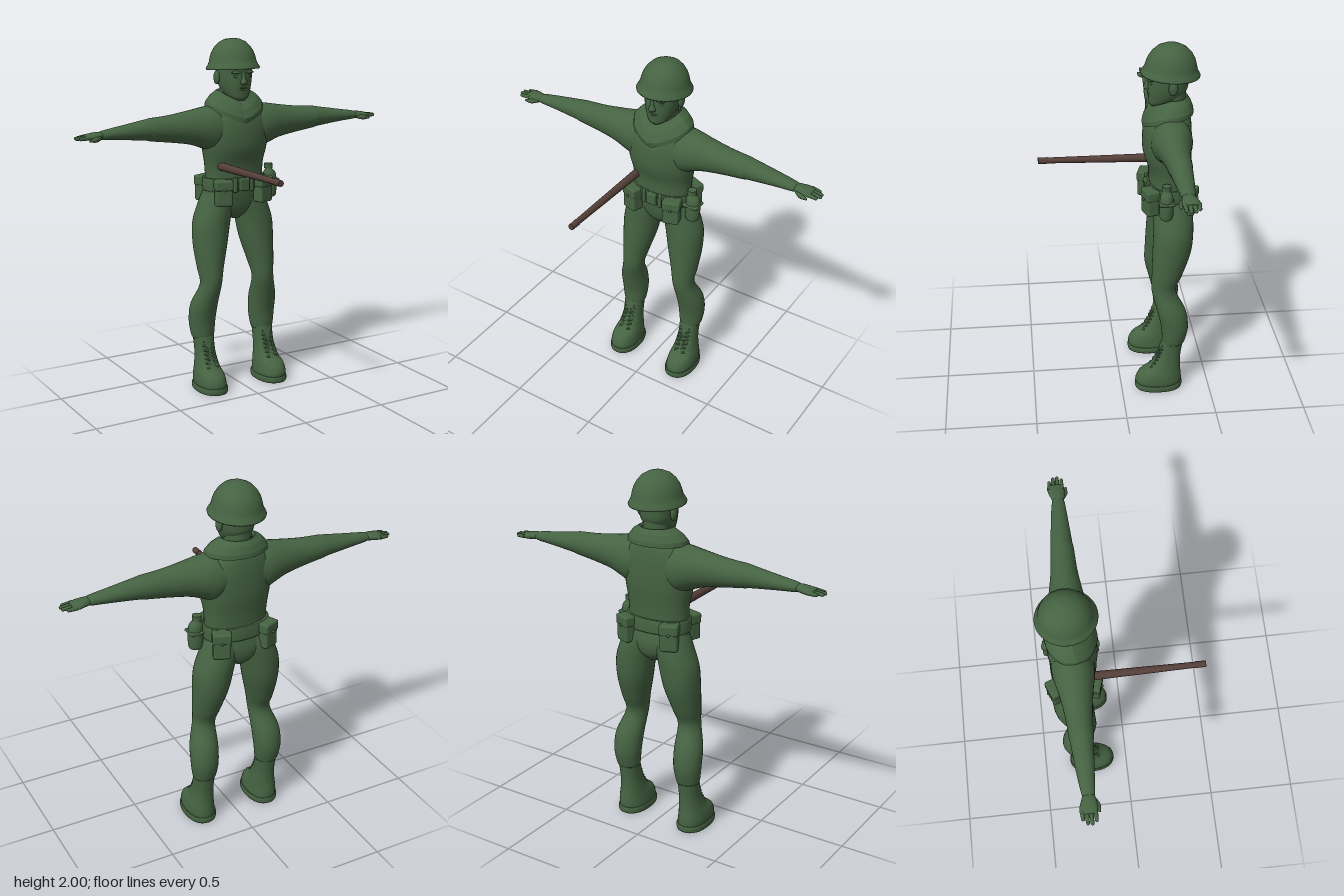
import * as THREE from 'three';
import { RoundedBoxGeometry } from 'three/addons/geometries/RoundedBoxGeometry.js';

const green = new THREE.MeshStandardMaterial({ color: 0x456342 });
green.name = 'uniform green';
const brown = new THREE.MeshStandardMaterial({ color: 0x553f39 });
brown.name = 'barrel brown';

// Smooth interpolation through table rows, u from 0 to rows.length - 1
function sample(rows, u) {
  const n = rows.length - 1, k = Math.min(Math.floor(u), n - 1), t = u - k;
  const row = (i) => rows[Math.max(0, Math.min(n, i))];
  return rows[k].map((b, c) => {
    const a = row(k - 1)[c], d = row(k + 1)[c], e = row(k + 2)[c];
    return b + 0.5 * t * (d - a + t * (2 * a - 5 * b + 4 * d - e + t * (3 * (b - d) + e - a)));
  });
}

// Closed-ring surface; point(i, j) gives [x, y, z]
function rings(ni, nj, point, wrap, caps) {
  const pos = [], idx = [];
  for (let i = 0; i < ni; i++) for (let j = 0; j < nj; j++) pos.push(...point(i, j));
  const last = wrap ? ni : ni - 1;
  for (let i = 0; i < last; i++) for (let j = 0; j < nj; j++) {
    const a = i * nj + j, b = i * nj + (j + 1) % nj;
    const k = (i + 1) % ni, c = k * nj + j, d = k * nj + (j + 1) % nj;
    idx.push(a, c, b, b, c, d);
  }
  if (caps) caps.forEach((p, e) => {
    const m = pos.length / 3, base = e ? (ni - 1) * nj : 0;
    pos.push(...p);
    for (let j = 0; j < nj; j++) {
      const a = base + j, b = base + (j + 1) % nj;
      if (e) idx.push(m, b, a); else idx.push(m, a, b);
    }
  });
  const g = new THREE.BufferGeometry();
  g.setAttribute('position', new THREE.Float32BufferAttribute(pos, 3));
  g.setIndex(idx);
  g.computeVertexNormals();
  return g;
}

// Loft of ellipses. axis 'y': [y, cx, cz, rx, rz]; axis 'x': [x, cy, cz, ry, rz]
function loft(rows, axis = 'y', power = 1, sides = 32, steps = 5) {
  const ni = (rows.length - 1) * steps + 1;
  const bend = (v) => Math.sign(v) * Math.abs(v) ** power;
  const place = (i, c, s) => {
    const [t, a, b, ra, rb] = sample(rows, i / steps);
    return axis === 'y' ? [a + ra * c, t, b + rb * s] : [t, a + ra * s, b + rb * c];
  };
  return rings(ni, sides, (i, j) => {
    const w = j / sides * Math.PI * 2;
    return place(i, bend(Math.cos(w)), bend(Math.sin(w)));
  }, false, [place(0, 0, 0), place(ni - 1, 0, 0)]);
}

function mirrored(g) {
  const m = g.clone().scale(-1, 1, 1), ix = m.index;
  for (let i = 0; i < ix.count; i += 3) {
    const a = ix.getX(i);
    ix.setX(i, ix.getX(i + 2));
    ix.setX(i + 2, a);
  }
  return m;
}

function blob(x, y, z, rx, ry, rz) {
  return new THREE.SphereGeometry(1, 20, 14).scale(rx, ry, rz).translate(x, y, z);
}

function rod(a, b, r, r2 = r) {
  const p = new THREE.Vector3(...a), q = new THREE.Vector3(...b), d = q.clone().sub(p);
  const turn = new THREE.Quaternion().setFromUnitVectors(new THREE.Vector3(0, 1, 0), d.clone().normalize());
  return new THREE.CylinderGeometry(r2, r, d.length(), 16).applyQuaternion(turn)
    .translate(...p.add(q).multiplyScalar(0.5).toArray());
}

function box(w, h, d, x, y, z, yaw = 0, r = 0.012) {
  return new RoundedBoxGeometry(w, h, d, 3, r).rotateY(yaw).translate(x, y, z);
}

export function createModel() {
  const model = new THREE.Group();
  const add = (name, geo, mat = green) => {
    const m = new THREE.Mesh(geo, mat);
    m.name = name;
    model.add(m);
  };
  const pair = (name, geo) => {
    if (!geo.index) geo.setIndex([...Array(geo.attributes.position.count).keys()]);
    add(name + 'Left', geo);
    add(name + 'Right', mirrored(geo));
  };

  // Torso and pelvis
  add('torso', loft([
    [0.985, 0, -0.29, 0.03, 0.05], [1.03, 0, -0.29, 0.1, 0.09], [1.1, 0, -0.285, 0.18, 0.105],
    [1.2, 0, -0.27, 0.175, 0.102], [1.3, 0, -0.27, 0.178, 0.107], [1.4, 0, -0.262, 0.194, 0.128],
    [1.5, 0, -0.262, 0.2, 0.13], [1.58, 0, -0.267, 0.178, 0.12], [1.64, 0, -0.275, 0.12, 0.1],
    [1.69, 0, -0.28, 0.07, 0.07]], 'y', 0.92, 40));

  // Trouser legs
  pair('leg', loft([
    [0.295, 0.197, -0.293, 0.062, 0.06], [0.32, 0.198, -0.296, 0.069, 0.066],
    [0.4, 0.198, -0.3, 0.078, 0.076], [0.5, 0.193, -0.28, 0.078, 0.08],
    [0.62, 0.172, -0.238, 0.062, 0.067], [0.72, 0.165, -0.256, 0.076, 0.085],
    [0.85, 0.152, -0.28, 0.098, 0.105], [0.97, 0.138, -0.289, 0.108, 0.109],
    [1.08, 0.108, -0.289, 0.1, 0.106], [1.16, 0.09, -0.28, 0.085, 0.095]]));

  // Boots, soles and crossed laces
  pair('boot', loft([
    [0.03, 0.198, -0.213, 0.08, 0.13], [0.06, 0.2, -0.213, 0.08, 0.131], [0.1, 0.2, -0.222, 0.075, 0.118],
    [0.14, 0.198, -0.248, 0.066, 0.088], [0.2, 0.197, -0.268, 0.058, 0.068],
    [0.25, 0.197, -0.28, 0.057, 0.062], [0.315, 0.197, -0.292, 0.06, 0.059]], 'y', 0.9));
  pair('sole', loft([[0, 0.198, -0.213, 0.084, 0.132], [0.01, 0.198, -0.213, 0.087, 0.135],
    [0.028, 0.198, -0.213, 0.087, 0.135], [0.036, 0.198, -0.213, 0.083, 0.131]], 'y', 0.88));
  const tongue = [[0.12, -0.148], [0.16, -0.178], [0.2, -0.2], [0.24, -0.215], [0.28, -0.23]];
  for (let i = 0; i < 7; i++) {
    const [y0, z0] = sample(tongue, i * 4 / 7), [y1, z1] = sample(tongue, (i + 1) * 4 / 7);
    for (const s of [-1, 1]) {
      pair('lace', rod([0.197 - s * 0.03, y0, z0 - 0.004], [0.197 + s * 0.03, y1, z1 - 0.004], 0.005));
      pair('eyelet', blob(0.197 + s * 0.031, y0, z0 - 0.007, 0.006, 0.006, 0.006));
    }
  }

  // Sleeves, with a small step at the elbow and the cuff
  pair('arm', loft([
    [0.06, 1.52, -0.27, 0.1, 0.1], [0.14, 1.508, -0.268, 0.128, 0.11], [0.2, 1.514, -0.266, 0.116, 0.105],
    [0.28, 1.522, -0.264, 0.095, 0.088], [0.4, 1.524, -0.262, 0.076, 0.07], [0.52, 1.528, -0.26, 0.063, 0.062],
    [0.545, 1.529, -0.26, 0.058, 0.058], [0.7, 1.525, -0.258, 0.037, 0.045], [0.8, 1.521, -0.255, 0.025, 0.034],
    [0.815, 1.52, -0.255, 0.018, 0.026]], 'x'));

  // Hands
  pair('palm', loft([[0.79, 1.521, -0.255, 0.018, 0.024], [0.83, 1.52, -0.256, 0.021, 0.036],
    [0.87, 1.517, -0.26, 0.019, 0.045], [0.905, 1.515, -0.26, 0.013, 0.04]], 'x'));
  [0.935, 0.957, 0.96, 0.945].forEach((tip, i) => {
    const z = -0.295 + i * 0.022;
    pair('finger', rod([0.88, 1.517, z], [tip - 0.009, 1.513, z + 0.002], 0.0125, 0.009));
    pair('fingertip', blob(tip - 0.009, 1.513, z + 0.002, 0.009, 0.009, 0.009));
  });
  pair('thumb', loft([[0.82, 1.512, -0.235, 0.012, 0.012], [0.855, 1.506, -0.215, 0.014, 0.013],
    [0.895, 1.503, -0.208, 0.006, 0.006]], 'x', 1, 14));

  // Turned-down collar with a pointed front
  const section = [[0, 0], [0.12, 0.018], [0.6, 0.024], [0.95, 0.012], [1, -0.008], [0.6, -0.02], [0.1, -0.02]];
  add('collar', rings(72, section.length, (i, j) => {
    const w = (i / 72 * 2 - 1) * Math.PI, tent = Math.max(0, 1 - Math.abs(w) / 1.4);
    const [v, lift] = section[j], mix = (a, b) => a + (b - a) * v;
    return [mix(0.082, 0.173) * Math.sin(w), mix(1.705 - 0.055 * tent, 1.637 - 0.09 * tent) + lift,
      mix(-0.28, -0.267) + mix(0.082, 0.132 + 0.008 * tent) * Math.cos(w) + lift * 0.4 * tent];
  }, true).toNonIndexed());
  model.children.at(-1).geometry = fixFacing(model.children.at(-1).geometry);

  // Neck, head and face
  add('neck', loft([[1.6, 0, -0.285, 0.075, 0.075], [1.68, 0, -0.285, 0.07, 0.072], [1.76, 0, -0.285, 0.07, 0.074]]));
  add('head', loft([
    [1.663, 0, -0.2, 0.026, 0.028], [1.68, 0, -0.215, 0.052, 0.053], [1.705, 0, -0.238, 0.07, 0.079],
    [1.75, 0, -0.258, 0.086, 0.103], [1.8, 0, -0.262, 0.093, 0.108], [1.87, 0, -0.265, 0.097, 0.108]], 'y', 0.9));
  add('nose', loft([[1.752, 0, -0.158, 0.014, 0.01], [1.764, 0, -0.152, 0.02, 0.02],
    [1.79, 0, -0.154, 0.011, 0.014], [1.822, 0, -0.158, 0.01, 0.01]], 'y', 1, 14));
  add('upperLip', blob(0, 1.734, -0.163, 0.028, 0.006, 0.011));
  add('lowerLip', blob(0, 1.721, -0.167, 0.023, 0.006, 0.011));
  add('chin', blob(0, 1.686, -0.178, 0.03, 0.02, 0.018));
  pair('brow', blob(0.038, 1.82, -0.166, 0.032, 0.009, 0.014));
  pair('eye', blob(0.038, 1.798, -0.168, 0.017, 0.008, 0.009));
  pair('ear', blob(0.102, 1.787, -0.277, 0.015, 0.038, 0.025));

  // Helmet with flared rim, tipped up at the front
  const shell = [[0, 0.012], [0.115, 0.006], [0.138, -0.018], [0.147, -0.02], [0.149, -0.012], [0.137, 0.008],
    [0.131, 0.022], [0.126, 0.045], [0.117, 0.073], [0.1, 0.102], [0.075, 0.128], [0.042, 0.145], [0, 0.15]];
  add('helmet', new THREE.LatheGeometry(shell.map((p) => new THREE.Vector2(...p)), 48)
    .scale(1, 1, 1.06).rotateX(-0.06).translate(0, 1.85, -0.275));

  // Belt, buckle and loops
  add('belt', loft([[1.158, 0, -0.274, 0.181, 0.11], [1.164, 0, -0.274, 0.188, 0.117],
    [1.224, 0, -0.272, 0.188, 0.117], [1.23, 0, -0.272, 0.181, 0.11]], 'y', 0.92, 40, 3));
  add('buckle', box(0.062, 0.072, 0.025, 0, 1.194, -0.153, 0, 0.008));
  pair('beltLoop', box(0.022, 0.085, 0.02, 0.052, 1.194, -0.158, 0.1, 0.006));

  // Pouches with flaps, front and back
  for (const [name, x, z, yaw] of [['frontPouch', 0.127, -0.162, 0.3], ['rearPouch', 0.135, -0.375, Math.PI - 0.4]]) {
    const dx = Math.sin(yaw), dz = Math.cos(yaw);
    pair(name, box(0.094, 0.14, 0.07, x, 1.153, z, yaw));
    pair(name + 'Flap', box(0.102, 0.058, 0.078, x, 1.2, z, yaw));
    pair(name + 'Stud', blob(x + dx * 0.04, 1.178, z + dz * 0.04, 0.008, 0.008, 0.008));
  }

  // Canteen on the left hip
  add('canteen', loft([[1.09, 0.215, -0.237, 0.03, 0.026], [1.105, 0.216, -0.237, 0.04, 0.036],
    [1.17, 0.218, -0.237, 0.042, 0.038], [1.225, 0.216, -0.237, 0.038, 0.034],
    [1.25, 0.212, -0.237, 0.022, 0.022], [1.262, 0.21, -0.237, 0.018, 0.018]]));
  add('canteenCap', rod([0.21, 1.257, -0.237], [0.21, 1.283, -0.237], 0.025));
  add('canteenStrap', box(0.092, 0.016, 0.084, 0.216, 1.19, -0.237, 0, 0.006));

  // Brown barrel reaching forward from the waist
  add('barrel', rod([-0.12, 1.3, -0.22], [-0.12, 1.308, 0.38], 0.024, 0.016), brown);
  add('muzzle', rod([-0.12, 1.308, 0.375], [-0.12, 1.308, 0.43], 0.018, 0.017), brown);
  return model;
}

// Turns a closed shell so that its faces point outward, judged by signed volume
function fixFacing(g) {
  const p = g.attributes.position, v = [0, 1, 2].map(() => new THREE.Vector3());
  let volume = 0;
  for (let i = 0; i < p.count; i += 3) {
    v.forEach((q, k) => q.fromBufferAttribute(p, i + k));
    volume += v[0].dot(v[1].cross(v[2]));
  }
  if (volume < 0) {
    for (let i = 0; i < p.count; i += 3) {
      const a = v[0].fromBufferAttribute(p, i).clone(), c = v[2].fromBufferAttribute(p, i + 2);
      p.setXYZ(i, c.x, c.y, c.z);
      p.setXYZ(i + 2, a.x, a.y, a.z);
    }
    g.computeVertexNormals();
  }
  return g;
}
